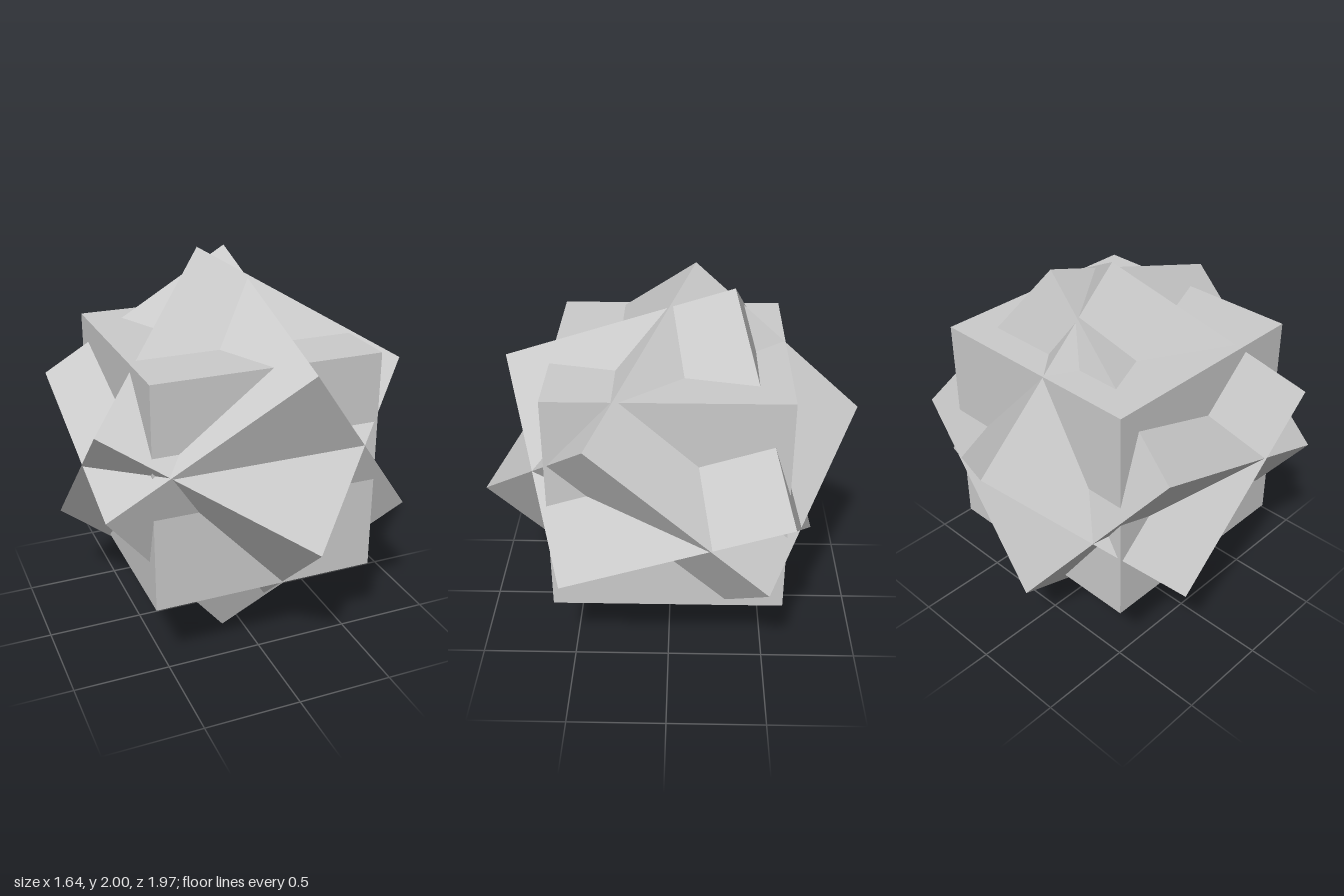
import * as THREE from 'three';

// Three equal cubes sharing one centre, each turned differently.
export function createModel() {
  const model = new THREE.Group();
  model.name = 'cubeCompound';

  const material = new THREE.MeshStandardMaterial({ color: 0xcccccc, flatShading: true });
  const geometry = new THREE.BoxGeometry(1.169, 1.169, 1.169);

  // Each cube spins about its own upright axis, then tilts about x.
  const cubes = [
    { name: 'uprightCube', tilt: 0, spin: 0 },
    { name: 'forwardTiltedCube', tilt: 0.828, spin: Math.PI / 4 + 0.108 },
    { name: 'backTiltedCube', tilt: -1.264, spin: Math.PI / 4 + 0.158 },
  ];

  for (const { name, tilt, spin } of cubes) {
    const cube = new THREE.Mesh(geometry, material);
    cube.name = name;
    cube.rotation.set(tilt, spin, 0);
    cube.position.y = 1;
    model.add(cube);
  }
  return model;
}
